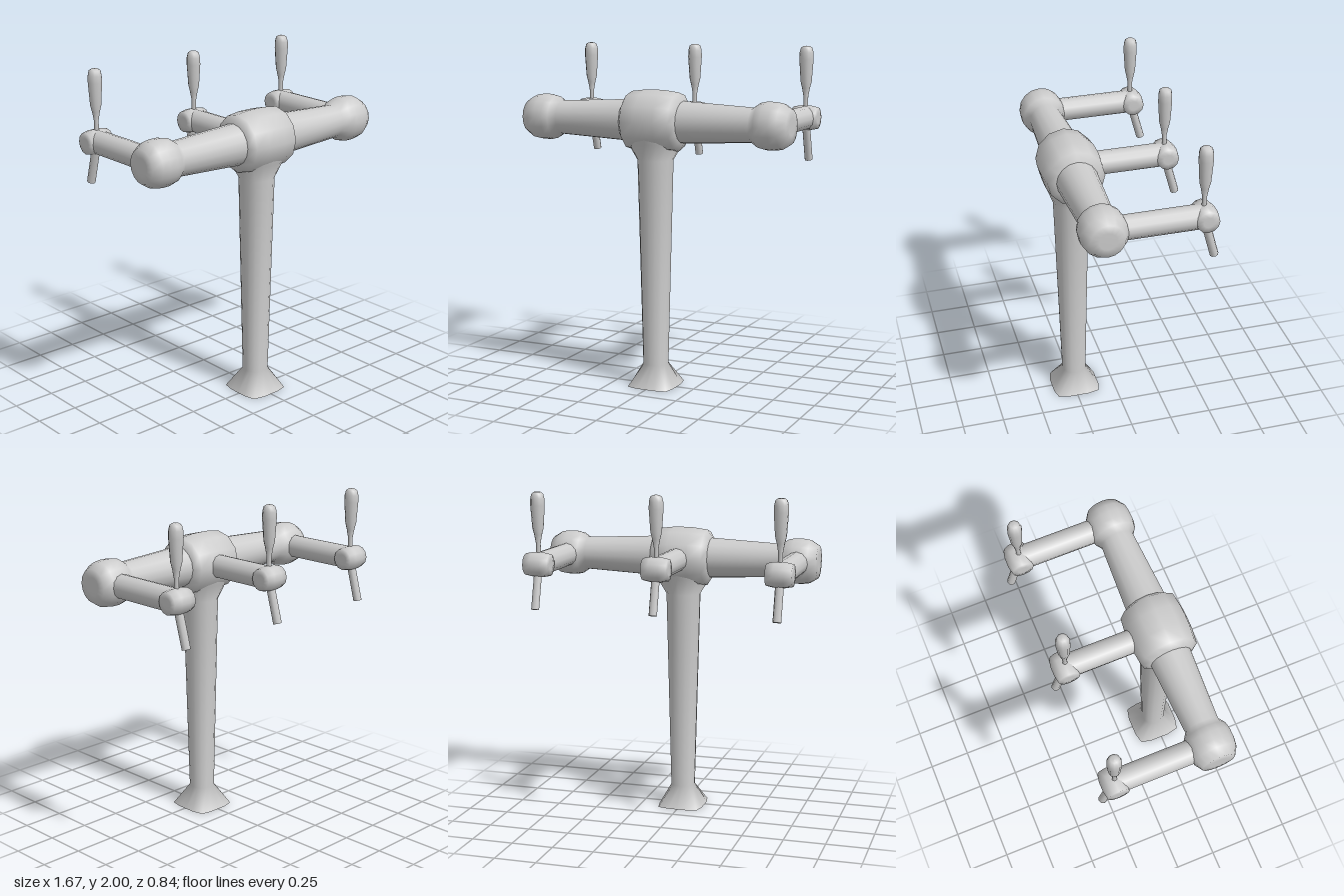
import * as THREE from 'three';
import { mergeVertices } from 'three/addons/utils/BufferGeometryUtils.js';

const material = new THREE.MeshStandardMaterial({ color: 0xcccccc });
const AXIS_Y = 1.575, AXIS_Z = 0.24, VALVE_Z = -0.33;

function addMesh(parent, name, geometry, x = 0, y = 0, z = 0) {
  const mesh = new THREE.Mesh(geometry, material);
  mesh.name = name;
  mesh.position.set(x, y, z);
  parent.add(mesh);
  return mesh;
}

// Turned profile of [radius, height] pairs, bottom to top
function turned(profile, sides) {
  return new THREE.LatheGeometry(profile.map(([r, h]) => new THREE.Vector2(r, h)), sides);
}

// Symmetric profile along x, given from the middle outwards as [radius, x]
function turnedAlongX(half, sides) {
  const left = half.filter(([, x]) => x > 0).map(([r, x]) => [r, -x]).reverse();
  return turned([...left, ...half], sides).rotateZ(-Math.PI / 2);
}

// Upright loft through sections [y, halfX, halfZ, squareness]; 2 is an ellipse
function loft(sections, sides) {
  const pos = [], index = [];
  for (const [y, a, b, n] of sections) {
    for (let i = 0; i < sides; i++) {
      const t = (i / sides) * Math.PI * 2, c = Math.cos(t), s = Math.sin(t);
      const k = Math.pow(Math.abs(c) ** n + Math.abs(s) ** n, -1 / n);
      pos.push(a * c * k, y, b * s * k);
    }
  }
  for (let j = 0; j < sections.length - 1; j++) {
    for (let i = 0; i < sides; i++) {
      const p = j * sides + i, q = j * sides + (i + 1) % sides;
      index.push(p, p + sides, q, q, p + sides, q + sides);
    }
  }
  // End caps, with their own vertices so the rims stay crisp
  [0, sections.length - 1].forEach((j, end) => {
    const start = pos.length / 3;
    for (let i = 0; i < sides; i++) pos.push(...pos.slice((j * sides + i) * 3, (j * sides + i) * 3 + 3));
    for (let i = 1; i < sides - 1; i++) {
      index.push(start, start + (end ? i + 1 : i), start + (end ? i : i + 1));
    }
  });
  const geo = new THREE.BufferGeometry();
  geo.setAttribute('position', new THREE.Float32BufferAttribute(pos, 3));
  geo.setIndex(index);
  geo.computeVertexNormals();
  return mergeVertices(geo);
}

// Spout, valve barrel, lever and nozzle
function makeTap(x) {
  const tap = new THREE.Group();
  tap.name = 'tap';
  tap.position.x = x;

  const spout = new THREE.CylinderGeometry(0.07, 0.07, 0.54, 12, 1, true).rotateX(Math.PI / 2);
  addMesh(tap, 'spout', spout, 0, AXIS_Y, -0.05);

  const barrel = turnedAlongX([[0.073, 0], [0.073, 0.03], [0.064, 0.076], [0.03, 0.078], [0, 0.078]], 12);
  addMesh(tap, 'valveBarrel', barrel, 0, AXIS_Y, VALVE_Z);

  const lever = turned([
    [0.014, 1.6], [0.014, 1.7], [0.023, 1.75], [0.033, 1.79], [0.042, 1.92],
    [0.041, 1.96], [0.034, 1.988], [0.02, 1.998], [0, 2],
  ], 10);
  addMesh(tap, 'lever', lever, 0, 0, VALVE_Z + 0.005);

  const nozzle = addMesh(tap, 'nozzle', new THREE.CylinderGeometry(0.025, 0.025, 0.25, 8), 0, 1.438, -0.363);
  nozzle.rotation.x = 0.27;
  return tap;
}

export function createModel() {
  const model = new THREE.Group();
  model.name = 'tapTower';

  // Square foot, round tapered column, flare into the hub
  addMesh(model, 'column', loft([
    [0, 0.14, 0.145, 6],
    [0.13, 0.073, 0.073, 2.3],
    [1.35, 0.105, 0.106, 2],
    [1.45, 0.168, 0.142, 2],
    [1.55, 0.172, 0.172, 2],
  ], 16), 0, 0, AXIS_Z);

  // Faceted central hub
  addMesh(model, 'hub', turnedAlongX([
    [0.182, 0], [0.181, 0.06], [0.17, 0.15], [0.127, 0.178], [0.1, 0.178],
  ], 12), 0, AXIS_Y, AXIS_Z);

  // Crossbar with tapered arms and rounded ends
  addMesh(model, 'crossbar', turnedAlongX([
    [0.13, 0], [0.122, 0.17], [0.1, 0.61], [0.127, 0.65], [0.136, 0.69],
    [0.136, 0.74], [0.129, 0.785], [0.098, 0.835], [0.05, 0.837], [0, 0.837],
  ], 16), 0, AXIS_Y, AXIS_Z);

  for (const x of [-0.72, 0, 0.72]) model.add(makeTap(x));
  return model;
}
